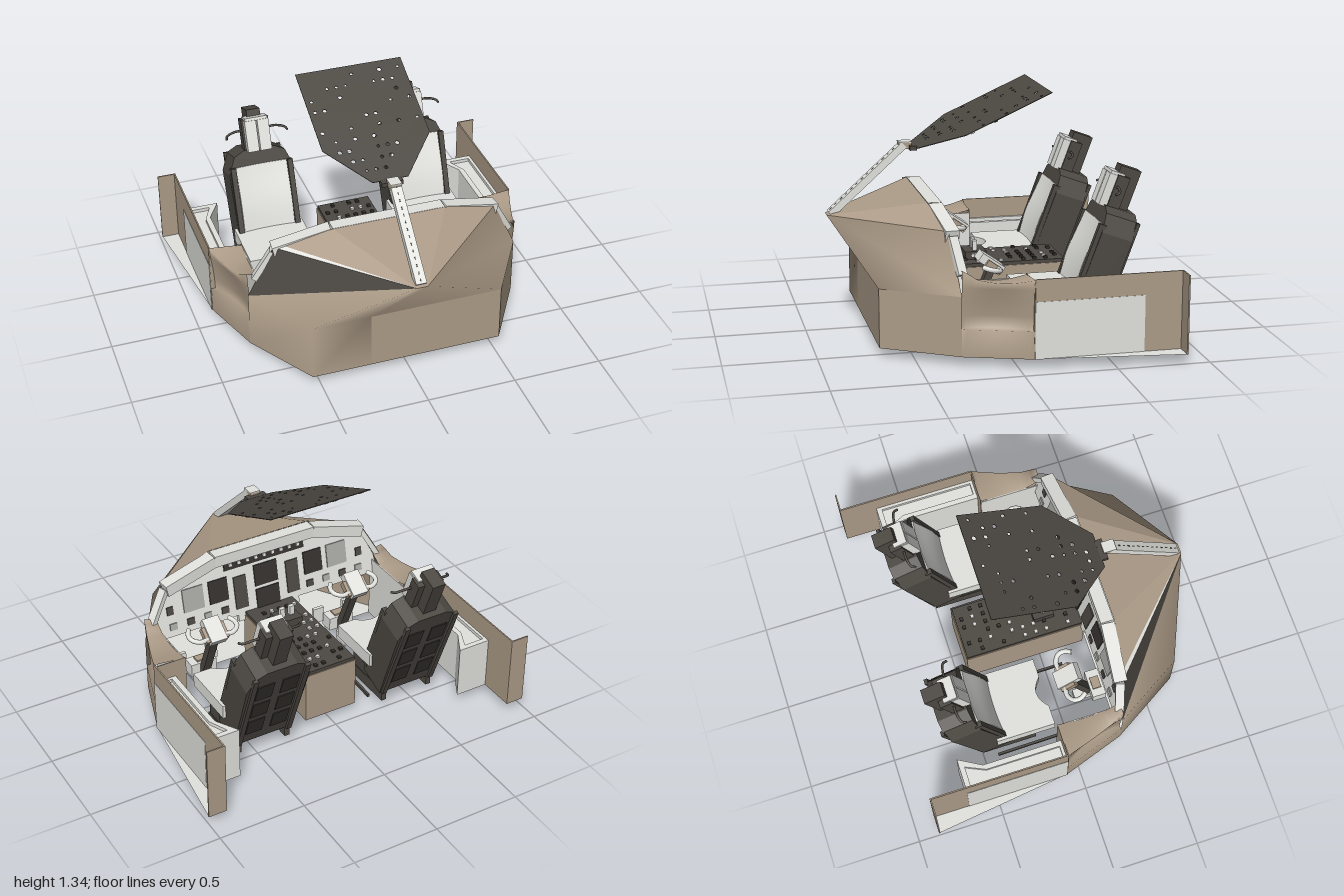
import * as THREE from 'three';
import { mergeVertices } from 'three/addons/utils/BufferGeometryUtils.js';

const mat = (name, color) =>
  Object.assign(new THREE.MeshStandardMaterial({ color, side: THREE.DoubleSide }), { name });

export function createModel() {
  const root = new THREE.Group();
  root.name = 'cockpit';
  const brown = mat('hull brown', 0xad9c88);
  const grey = mat('trim grey', 0xe2e2de);
  const dark = mat('panel dark', 0x4d4943);
  const black = mat('screen black', 0x35322e);
  const screen = mat('screen grey', 0xaaaaa6);

  const add = (parent, name, geo, m, x = 0, y = 0, z = 0) => {
    const mesh = new THREE.Mesh(geo, m);
    mesh.name = name;
    mesh.position.set(x, y, z);
    parent.add(mesh);
    return mesh;
  };
  const box = (p, name, m, w, h, d, x, y, z) => add(p, name, new THREE.BoxGeometry(w, h, d), m, x, y, z);
  const group = (p, name, x = 0, y = 0, z = 0) => {
    const g = new THREE.Group();
    g.name = name;
    g.position.set(x, y, z);
    p.add(g);
    return g;
  };
  // convex polygons, each a list of [x, y, z] corners; smooth shares the normals
  const polys = (list, smooth = false) => {
    const v = [];
    for (const p of list)
      for (let i = 1; i < p.length - 1; i++) v.push(...p[0], ...p[i], ...p[i + 1]);
    let g = new THREE.BufferGeometry();
    g.setAttribute('position', new THREE.Float32BufferAttribute(v, 3));
    if (smooth) g = mergeVertices(g);
    g.computeVertexNormals();
    return g;
  };
  const shape = (pts) => new THREE.Shape(pts.map(([x, y]) => new THREE.Vector2(x, y)));
  const extrude = (s, depth) => new THREE.ExtrudeGeometry(s, { depth, bevelEnabled: false, curveSegments: 8 });
  const tube = (pts, r) =>
    new THREE.TubeGeometry(new THREE.CatmullRomCurve3(pts.map((p) => new THREE.Vector3(...p))), 16, r, 8);
  // square beam between two points
  const beam = (p, name, m, a, b, w, h) => {
    const A = new THREE.Vector3(...a), B = new THREE.Vector3(...b);
    const mesh = box(p, name, m, w, h, A.distanceTo(B), 0, 0, 0);
    mesh.quaternion.setFromRotationMatrix(new THREE.Matrix4().lookAt(B, A, new THREE.Vector3(0, 1, 0)));
    mesh.position.copy(A).add(B).multiplyScalar(0.5);
    return mesh;
  };
  let seed = 7;
  const rnd = () => (seed = (seed * 16807) % 2147483647) / 2147483647;

  // nose hull: flat upper plates and front panel, blended underside and right flank
  const P = (s) => ({
    A: [s * 0.03, 0.66, 0.875], G: [s * 0.32, 0.77, 0.37], S: [s * 0.64, 0.69, 0.32],
    E: [s * 0.78, 0.375, 0.28], L: [s * 0.54, 0.375, 0.675],
    E0: [s * 0.78, 0.05, 0.28], L0: [s * 0.54, 0.05, 0.675],
  });
  const l = P(1), r = P(-1);
  const M = [-0.21, 0.375, 0.675], M0 = [-0.21, 0.05, 0.675];
  const mid = r.S.map((c, i) => c + (r.G[i] - c) * 0.13);
  add(root, 'noseHull', polys([
    [l.A, l.G, r.G, r.A], [l.A, l.S, l.G], [r.A, r.G, mid],
    [l.L, M, M0, l.L0], [l.E, l.L, l.L0, l.E0],
  ]), brown);
  add(root, 'noseBlend', polys([
    [l.A, r.A, M, l.L], [r.A, r.L, M], [M, r.L, r.L0, M0], [r.L, r.E, r.E0, r.L0],
    [r.A, r.E, r.L], [l.A, l.L, l.E], [l.A, l.E, l.S],
  ], true), brown);
  add(root, 'noseSidePanel', polys([[r.A, r.S, r.E]]), dark);
  add(root, 'noseSideStrip', polys([[r.A, mid, r.S]]), grey);
  add(root, 'noseFloor', polys([[l.E0, l.L0, r.L0, r.E0]]), grey);

  // glareshield rim
  const rim = [[-0.74, 0.48, 0.27], [-0.64, 0.66, 0.3], [-0.32, 0.735, 0.33], [0.32, 0.735, 0.33], [0.64, 0.66, 0.3], [0.74, 0.48, 0.27]];
  for (let i = 0; i < 5; i++)
    beam(root, 'glareshieldRim', grey, rim[i], rim[i + 1], i % 4 ? 0.075 : 0.05, i % 4 ? 0.07 : 0.03);

  // instrument panel, leaning forward at the top
  const panel = group(root, 'instrumentPanel', 0, 0.36, 0.25);
  panel.rotation.x = 0.2;
  add(panel, 'panelPlate', extrude(shape([[-0.74, 0], [-0.2, 0], [-0.2, -0.04], [0.2, -0.04], [0.2, 0], [0.74, 0],
    [0.72, 0.12], [0.63, 0.3], [0.32, 0.37], [-0.32, 0.37], [-0.63, 0.3], [-0.72, 0.12]]), 0.03), grey);
  box(panel, 'modeStrip', black, 0.52, 0.06, 0.008, 0, 0.325, -0.003);
  for (let i = 0; i < 9; i++) box(panel, 'modeKnob', grey, 0.02, 0.02, 0.014, -0.22 + i * 0.055, 0.325, -0.01);
  for (const y of [0.06, 0.21]) box(panel, 'centreScreen', black, 0.15, 0.13, 0.008, 0, y, -0.003);
  for (const s of [-1, 1]) {
    box(panel, 'innerScreen', black, 0.12, 0.14, 0.008, s * 0.31, 0.19, -0.003);
    box(panel, 'outerScreen', screen, 0.13, 0.14, 0.008, s * 0.47, 0.19, -0.003);
    box(panel, 'standbyGauges', dark, 0.08, 0.2, 0.008, s * 0.17, 0.14, -0.003);
    for (let i = 0; i < 4; i++)
      box(panel, 'smallInstrument', i % 2 ? screen : dark, 0.045, 0.04, 0.008, s * (0.28 + i * 0.11), 0.06, -0.003);
    box(panel, 'sideInstrument', dark, 0.04, 0.05, 0.008, s * 0.62, 0.16, -0.003);
  }

  // centre pedestal with switch rows
  box(root, 'pedestal', brown, 0.32, 0.3, 0.7, 0, 0.2, -0.09);
  box(root, 'pedestalTop', dark, 0.31, 0.02, 0.69, 0, 0.36, -0.09);
  for (let i = 0; i < 6; i++)
    for (let j = 0; j < 10; j++)
      if (rnd() > 0.35) box(root, 'pedestalSwitch', rnd() > 0.6 ? grey : black, 0.02, 0.014, 0.02, -0.125 + i * 0.05, 0.375, -0.4 + j * 0.064);
  box(root, 'throttleBlock', dark, 0.14, 0.05, 0.12, 0, 0.39, 0.05);
  for (const x of [-0.03, 0.03]) box(root, 'throttleLever', grey, 0.03, 0.08, 0.025, x, 0.43, 0.05);

  // scooped side skin between wall and nose: outer face and top
  const sillGeometry = (s) => {
    const v = [], idx = [], N = 14;
    const ys = [0.05, 0.2, 0.2, 0.27, 0.35, 0.42], off = [0, 0, 0.05, 0.045, 0.03, 0.01];
    for (let i = 0; i <= N; i++) {
      const t = i / N, z = -0.08 + 0.36 * t, x = 0.9 - 0.12 * t;
      const top = 0.476 - 0.022 * Math.sin(Math.PI * Math.min(1, t * 1.15)) + 0.2 * Math.max(0, t - 0.8);
      ys.forEach((y, k) => v.push(s * (x - off[k] * Math.sin(Math.PI * (0.15 + 0.7 * t))), y, z));
      v.push(s * x, top, z, s * 0.71, top - 0.02, z);
    }
    const n = ys.length + 2;
    for (let i = 0; i < N; i++)
      for (let k = 0; k < n - 1; k++) {
        const a = i * n + k, b = a + 1, c = a + n, d = c + 1;
        idx.push(...(s > 0 ? [a, b, c, b, d, c] : [a, c, b, b, c, d]));
      }
    const g = new THREE.BufferGeometry();
    g.setAttribute('position', new THREE.Float32BufferAttribute(v, 3));
    g.setIndex(idx);
    g.computeVertexNormals();
    return g;
  };

  for (const s of [1, -1]) {
    const side = group(root, s > 0 ? 'leftSide' : 'rightSide');
    // wall, end plate, sill tread
    box(side, 'sideWall', brown, 0.008, 0.43, 0.8, s * 0.898, 0.265, -0.48);
    box(side, 'wallPanel', grey, 0.006, 0.31, 0.59, s * 0.901, 0.205, -0.375);
    box(side, 'endPlate', brown, 0.1, 0.43, 0.008, s * 0.95, 0.265, -0.876);
    add(side, 'outerTread', polys([[[s * 0.9, 0.052, -0.08], [s * 0.9, 0.052, -0.88], [s * 1, 0.052, -0.88]]]), grey);
    add(side, 'sideSkin', sillGeometry(s), brown);
    box(side, 'skinLining', grey, 0.006, 0.39, 0.36, s * 0.71, 0.245, 0.1);
    add(side, 'skinFloor', polys([[[s * 0.71, 0.052, -0.08], [s * 0.9, 0.052, -0.08], [s * 0.78, 0.052, 0.28], [s * 0.71, 0.052, 0.28]]]), grey);
    box(side, 'skinEnd', brown, 0.19, 0.41, 0.006, s * 0.805, 0.255, -0.08);

    // side console with raised border
    const outline = [[0.895, 0.67], [0.7, 0.67], [0.775, 0.54], [0.775, 0.083], [0.895, 0.083]];
    const inner = [[0.877, 0.64], [0.755, 0.64], [0.805, 0.53], [0.805, 0.1], [0.877, 0.1]];
    const flip = (a) => shape(a.map(([x, z]) => [s * x, z]));
    add(side, 'console', extrude(flip(outline), 0.29), grey, 0, 0.05, 0).rotation.x = -Math.PI / 2;
    const border = flip(outline);
    border.holes.push(flip(inner));
    add(side, 'consoleBorder', extrude(border, 0.02), grey, 0, 0.34, 0).rotation.x = -Math.PI / 2;

    // floor rails
    for (const x of [0.265, 0.665]) beam(side, 'floorRail', dark, [s * x, 0.07, 0.1], [s * x, 0.047, -0.42], 0.014, 0.018);

    // seat
    const seat = group(side, 'seat', s * 0.465, 0, 0);
    const pan = shape([[-0.2, 0.42], [0.2, 0.42], [0.2, 0.08], [0.09, 0.08]]);
    pan.quadraticCurveTo(0, 0.17, -0.09, 0.08);
    pan.lineTo(-0.2, 0.08);
    add(seat, 'seatPan', extrude(pan, 0.08), grey, 0, 0.25, 0).rotation.x = -Math.PI / 2;
    box(seat, 'seatBase', dark, 0.32, 0.14, 0.28, 0, 0.18, -0.33);
    for (const x of [-0.15, 0.15]) box(seat, 'seatLeg', dark, 0.03, 0.07, 0.32, x, 0.085, -0.34);
    beam(seat, 'seatFoot', grey, [0, 0.06, -0.24], [0, 0.048, -0.42], 0.05, 0.015);
    const back = group(seat, 'seatBack', 0, 0.12, -0.3);
    back.rotation.x = -0.355;
    add(back, 'backShell', extrude(shape([[-0.18, 0.06], [0.18, 0.06], [0.19, 0.56], [0.15, 0.66], [0.09, 0.69],
      [-0.09, 0.69], [-0.15, 0.66], [-0.19, 0.56]]), 0.18), dark, 0, 0, -0.19);
    const cushion = new THREE.BoxGeometry(0.3, 0.48, 0.05, 10, 10, 1);
    const cp = cushion.attributes.position;
    for (let i = 0; i < cp.count; i++)
      if (cp.getZ(i) > 0) cp.setZ(i, 0.012 + 0.4 * cp.getX(i) ** 2 + 0.008 * Math.cos(cp.getY(i) * 12));
    cushion.computeVertexNormals();
    add(back, 'backCushion', cushion, grey, 0, 0.36, -0.012);
    for (const x of [-1, 1]) {
      box(back, 'sideBolster', dark, 0.03, 0.5, 0.04, x * 0.168, 0.35, -0.005);
      for (let i = 0; i < 3; i++) box(back, 'backRecess', black, 0.1, 0.12, 0.008, x * 0.075, 0.2 + i * 0.16, -0.191);
      box(back, 'backFrame', dark, 0.03, 0.6, 0.02, x * 0.155, 0.36, -0.195);
      add(back, 'headHook', tube([[x * 0.08, 0.8, -0.04], [x * 0.12, 0.8, -0.04], [x * 0.17, 0.785, -0.03], [x * 0.18, 0.77, -0.01]], 0.007), dark);
      box(back, 'headPad', grey, 0.066, 0.18, 0.05, x * 0.037, 0.77, -0.005);
    }
    box(back, 'headSupport', dark, 0.16, 0.2, 0.07, 0, 0.765, -0.06);
    box(back, 'headCap', grey, 0.13, 0.02, 0.08, 0, 0.866, -0.025);
    box(back, 'headPost', dark, 0.08, 0.26, 0.12, 0, 0.785, -0.095);

    // control column
    const yoke = group(side, 'controlColumn', s * 0.46, 0, 0);
    beam(yoke, 'columnShaft', dark, [0, 0.08, 0.2], [0, 0.42, 0.06], 0.05, 0.04);
    box(yoke, 'columnBase', grey, 0.16, 0.08, 0.08, 0, 0.12, 0.235);
    box(yoke, 'columnBoot', brown, 0.07, 0.012, 0.05, 0, 0.165, 0.235);
    beam(yoke, 'yokeHub', grey, [0, 0.42, 0], [0, 0.505, 0.12], 0.1, 0.05);
    beam(yoke, 'yokeCollar', brown, [0, 0.42, 0.015], [0, 0.475, 0.09], 0.14, 0.04);
    for (const x of [-1, 1])
      add(yoke, 'yokeHorn', tube([[x * 0.05, 0.44, 0.03], [x * 0.1, 0.44, 0.025], [x * 0.14, 0.45, 0.05], [x * 0.145, 0.46, 0.09], [x * 0.125, 0.47, 0.125]], 0.014), grey);
    box(yoke, 'pedalFoot', grey, 0.055, 0.06, 0.1, 0, 0.03, 0.155);
    for (const x of [-0.1, 0.1]) box(yoke, 'rudderPedal', grey, 0.07, 0.1, 0.02, x, 0.14, 0.3);
  }

  // strut carrying the overhead panel
  beam(root, 'overheadStrut', grey, [0, 0.66, 0.85], [0, 1.03, 0.44], 0.06, 0.04);
  for (let i = 0; i < 14; i++) {
    const t = (i + 0.5) / 14;
    const slot = box(root, 'strutSlot', dark, 0.006, 0.006, 0.016, 0, 0.674 + 0.37 * t, 0.862 - 0.41 * t);
    slot.rotation.x = 0.735;
  }
  box(root, 'strutBracket', brown, 0.06, 0.035, 0.07, 0, 1.025, 0.435);
  box(root, 'strutCap', grey, 0.064, 0.006, 0.072, 0, 1.044, 0.435);
  box(root, 'strutHinge', dark, 0.12, 0.025, 0.04, 0, 1.015, 0.395);

  // overhead panel with cut-outs, and knobs on its underside
  const over = group(root, 'overheadPanel', 0, 1.02, 0.38);
  over.rotation.x = 0.423 - Math.PI / 2;
  const sheet = shape([[-0.1, 0], [0.1, 0], [0.305, 0.25], [0.305, 0.768], [-0.305, 0.768], [-0.305, 0.25]]);
  for (let row = 0; row < 10; row++)
    for (let col = 0; col < 11; col++) {
      const x = -0.27 + col * 0.054, y = 0.08 + row * 0.07;
      if (Math.abs(x) > 0.08 + y * 0.75) continue;
      const pick = rnd();
      if (pick < 0.36) {
        const hole = new THREE.Path();
        hole.absarc(x, y, 0.007 + 0.005 * rnd(), 0, Math.PI * 2, true);
        sheet.holes.push(hole);
      } else if (pick < 0.6) box(over, 'overheadKnob', pick < 0.45 ? grey : black, 0.025, 0.02, 0.012, x, y, -0.006);
    }
  add(over, 'overheadSheet', extrude(sheet, 0.004), dark);

  return root;
}
